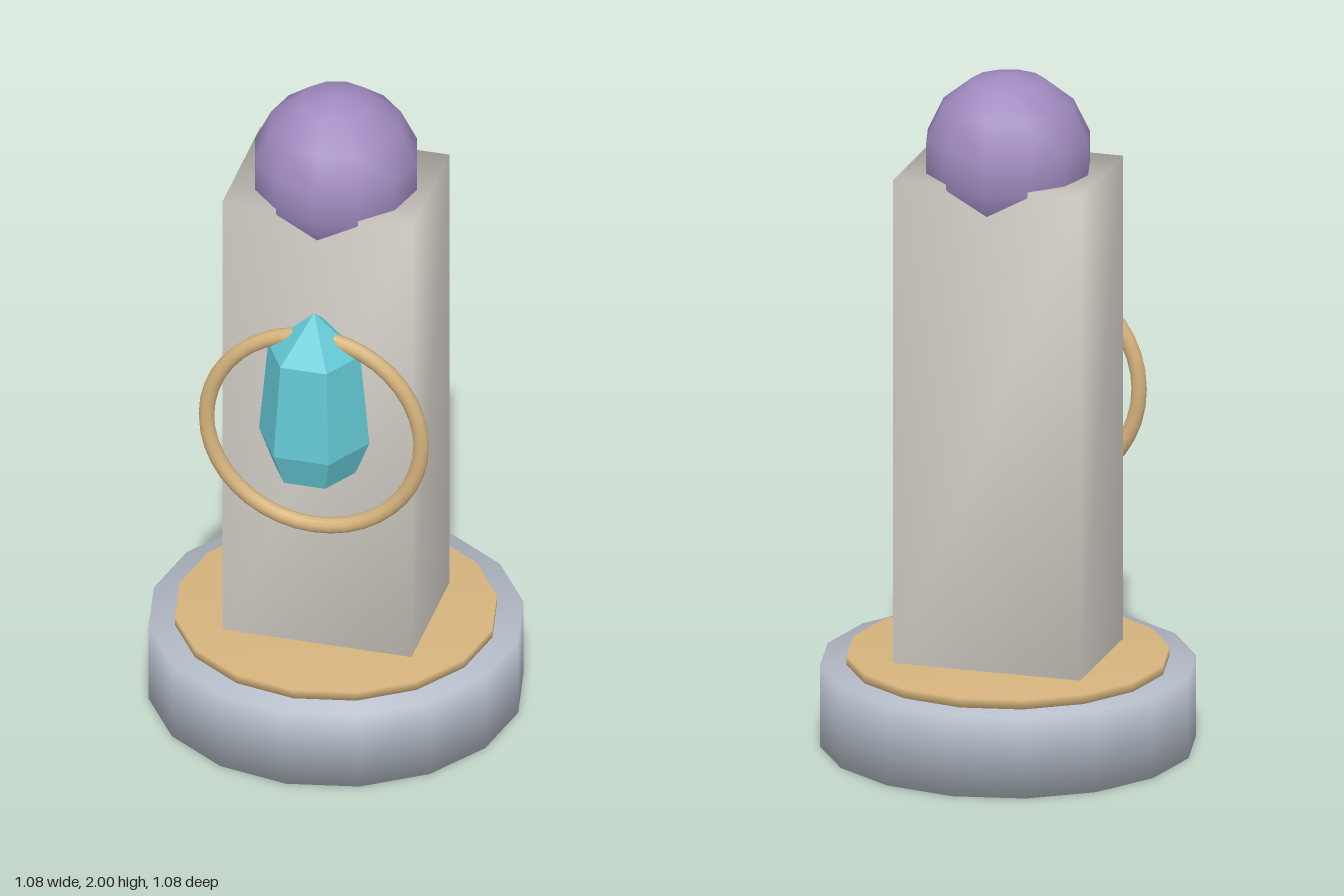
import * as THREE from 'three';
import { mergeVertices } from 'three/addons/utils/BufferGeometryUtils.js';

// Share corners so that shading runs smoothly over every edge
function soften(geometry) {
  geometry.deleteAttribute('normal');
  geometry.deleteAttribute('uv');
  const merged = mergeVertices(geometry, 1e-4);
  merged.computeVertexNormals();
  return merged;
}

export function createModel() {
  const group = new THREE.Group();

  const add = (name, geometry, color, y, z = 0, flatShading = false) => {
    const material = new THREE.MeshStandardMaterial({ color, flatShading });
    const mesh = new THREE.Mesh(geometry, material);
    mesh.name = name;
    mesh.position.set(0, y, z);
    group.add(mesh);
    return mesh;
  };

  // Round plinth with a thin gilded disc on top
  add('base', soften(new THREE.CylinderGeometry(0.538, 0.538, 0.242, 16)), 0xb4bcc8, 0.121);
  add('baseTrim', soften(new THREE.CylinderGeometry(0.462, 0.462, 0.032, 16)), 0xd4b27c, 0.254);

  // Rectangular pillar
  add('pillar', soften(new THREE.BoxGeometry(0.558, 1.455, 0.41)), 0xd8d4cc, 0.9875);

  // Faceted ball sunk into the top of the pillar
  add('orb', soften(new THREE.SphereGeometry(0.245, 12, 7)), 0x9f8abf, 1.755);

  // Ring hanging on the front face
  add('ring', new THREE.TorusGeometry(0.317, 0.023, 10, 40), 0xd4b27c, 1.01, 0.239);

  // Six-sided crystal inside the ring
  const profile = [[0, 0.885], [0.122, 0.885], [0.163, 0.99], [0.136, 1.28], [0, 1.403]]
    .map(([r, y]) => new THREE.Vector2(r, y));
  add('crystal', new THREE.LatheGeometry(profile, 6, Math.PI / 2), 0x64c8d4, 0, 0.235, true);

  return group;
}
